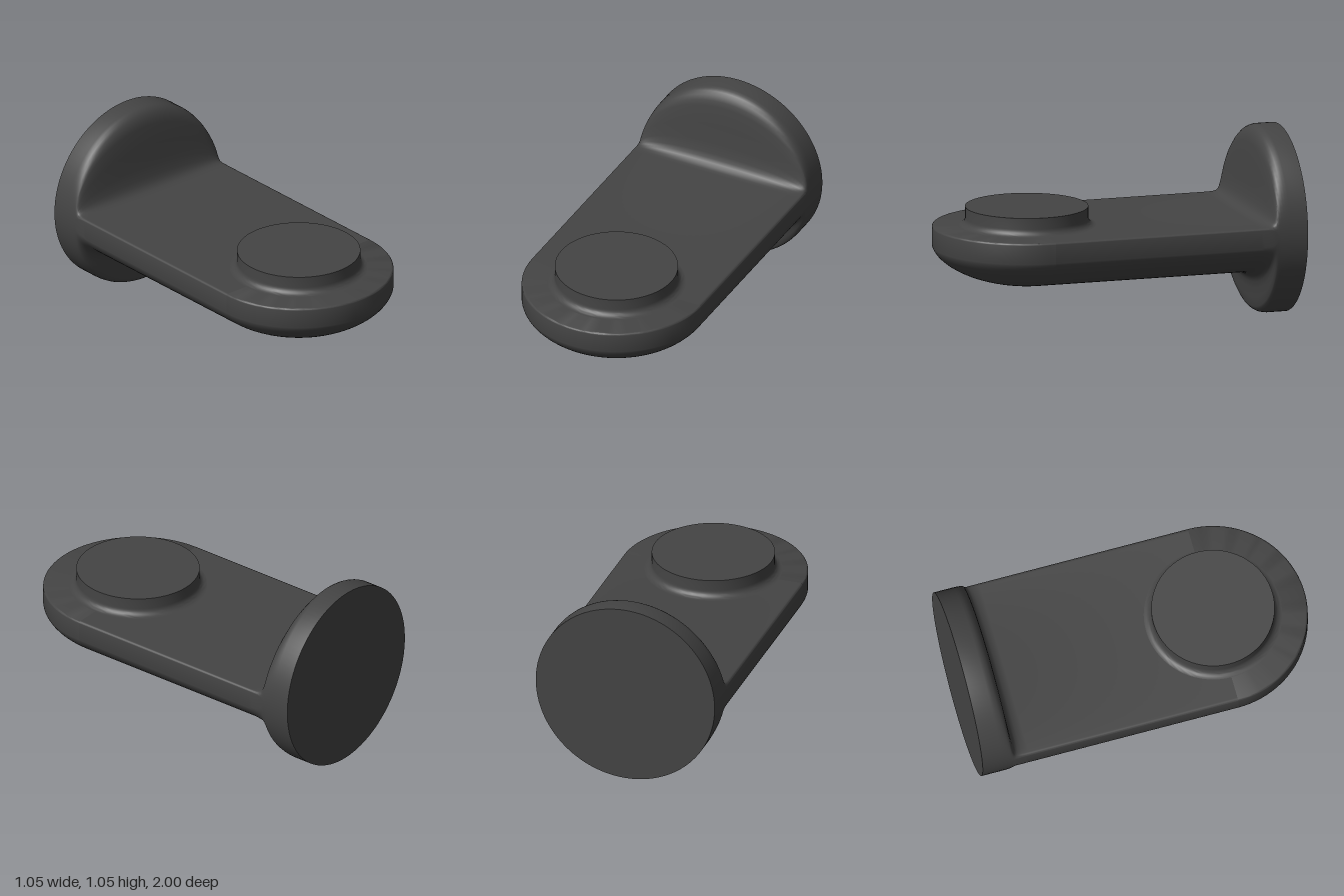
import * as THREE from 'three';
import { toCreasedNormals } from 'three/addons/utils/BufferGeometryUtils.js';

const R = 0.527;      // half width of the arm and radius of the wall disc
const CZ = 0.473;     // centre of the rounded arm tip
const TOP = 0.58;     // flat top of the arm
const EDGE = 0.012;   // softening of the arm's top edge
const N = 48;

// Height of the arm's underside and top at distance r from its centre line
const under = (r) => 0.25 + 0.22 * (1 - Math.pow(Math.max(0, 1 - (r / R) ** 2), 0.6));
const over = (r) => {
  const k = Math.max(0, EDGE - (R - r));
  return TOP - EDGE + Math.sqrt(Math.max(0, EDGE * EDGE - k * k));
};

// Arm section blending through a fillet into the round wall disc
function armAndDisc() {
  // [blend from arm section to circle, z]
  const rings = [
    [0, CZ], [0, -0.73], [0.008, -0.75], [0.025, -0.77], [0.055, -0.787], [0.1, -0.798],
    [0.16, -0.806], [0.3, -0.814], [0.55, -0.821], [0.8, -0.829], [0.87, -0.835],
    [0.93, -0.847], [0.97, -0.862], [0.99, -0.878], [1, -0.895], [1, -1],
  ];
  const pos = [], index = [];
  const count = 2 * (N + 1);
  for (const [t, z] of rings) {
    for (let j = 0; j < count; j++) {
      const upper = j <= N;
      const a = Math.PI * (upper ? j : j - 1) / N;
      const x = R * Math.cos(a);
      const r = Math.min(R, Math.abs(x));
      const armY = upper ? over(r) : under(r);
      const discY = R + R * Math.sin(a);
      const blend = upper ? t : Math.pow(t, 0.75);
      pos.push(x, armY + (discY - armY) * blend, z);
    }
  }
  for (let i = 0; i < rings.length - 1; i++) {
    for (let j = 0; j < count; j++) {
      const k = (j + 1) % count;
      const a = i * count + j, b = i * count + k;
      const c = a + count, d = b + count;
      index.push(a, c, b, b, c, d);
    }
  }
  const g = new THREE.BufferGeometry();
  g.setAttribute('position', new THREE.Float32BufferAttribute(pos, 3));
  g.setIndex(index);
  return toCreasedNormals(g, 0.7);
}

// Half-round arm tip with a domed underside
function tip() {
  const pts = [];
  for (let i = 0; i <= 24; i++) {
    const r = R * Math.sin((i / 24) * Math.PI / 2);
    pts.push(new THREE.Vector2(r, under(r)));
  }
  for (let i = 0; i <= 4; i++) {
    const a = (i / 4) * Math.PI / 2;
    pts.push(new THREE.Vector2(R - EDGE + EDGE * Math.cos(a), TOP - EDGE + EDGE * Math.sin(a)));
  }
  pts.push(new THREE.Vector2(0, TOP));
  return toCreasedNormals(new THREE.LatheGeometry(pts, N, -Math.PI / 2, Math.PI), 0.7);
}

// Raised round pad with a filleted foot
function pad() {
  const r = 0.343, f = 0.042, pts = [];
  for (let i = 0; i <= 8; i++) {
    const a = (i / 8) * Math.PI / 2;
    pts.push(new THREE.Vector2(r + f - f * Math.sin(a), TOP + f - f * Math.cos(a)));
  }
  pts.push(new THREE.Vector2(r, 0.685), new THREE.Vector2(0, 0.685));
  return toCreasedNormals(new THREE.LatheGeometry(pts, 72), 0.7);
}

export function createModel() {
  const group = new THREE.Group();
  group.name = 'wallBracket';
  const material = new THREE.MeshStandardMaterial({ color: 0x444444 });
  const add = (name, geometry, x = 0, y = 0, z = 0) => {
    const mesh = new THREE.Mesh(geometry, material);
    mesh.name = name;
    mesh.position.set(x, y, z);
    group.add(mesh);
    return mesh;
  };
  add('armAndWallDisc', armAndDisc());
  add('armTip', tip(), 0, 0, CZ);
  add('pad', pad(), 0, 0, CZ);
  add('discBack', new THREE.CircleGeometry(R, 2 * N), 0, R, -1).rotation.y = Math.PI;
  return group;
}
